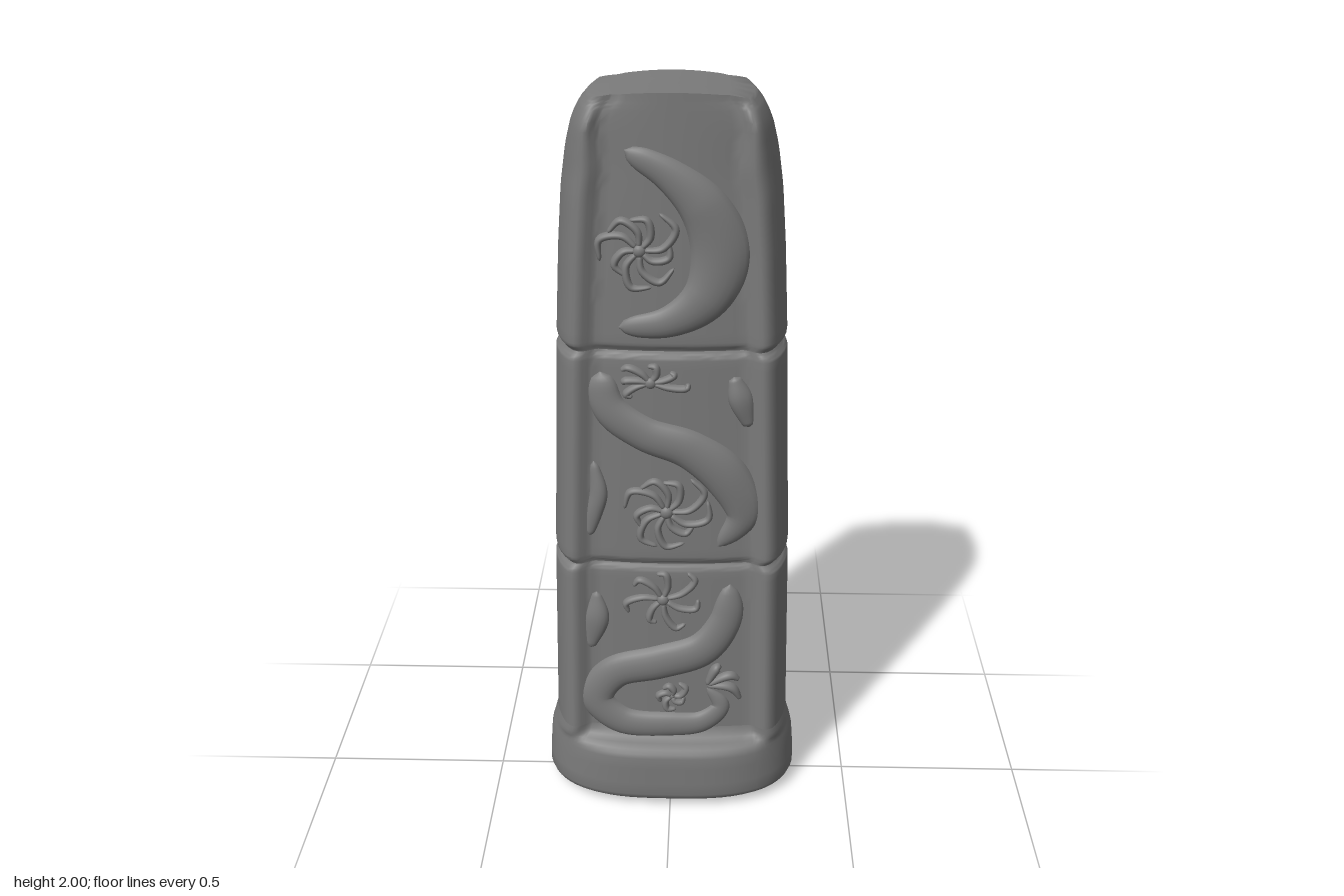
import * as THREE from 'three';
import { toCreasedNormals } from 'three/addons/utils/BufferGeometryUtils.js';

const material = new THREE.MeshStandardMaterial({ color: 0x7b7b7b, side: THREE.DoubleSide });
const SEAMS = [0.75, 1.357];
// half width by height
const WIDTH = [[0, 0.354], [0.1, 0.352], [0.17, 0.345], [0.2, 0.336], [0.23, 0.328], [0.75, 0.318], [1.36, 0.297],
  [1.6, 0.285], [1.75, 0.274], [1.85, 0.26], [1.92, 0.243], [1.96, 0.222], [1.985, 0.2], [2, 0.2]];
// rail: inset from the side, depth
const RAIL = [[0, 0], [0.003, 0.03], [0.009, 0.06], [0.02, 0.095], [0.032, 0.12], [0.043, 0.135],
  [0.055, 0.143], [0.066, 0.144], [0.077, 0.139], [0.09, 0.13], [0.1, 0.124], [0.108, 0.122]];
const PANEL_INSET = 0.108, PANEL_STEPS = 8;

const groove = (y) => SEAMS.reduce((s, c) => s + Math.exp(-(((y - c) / 0.011) ** 2)), 0);
const railScale = (y) => 1 - 0.4 * THREE.MathUtils.smoothstep(y, 1.8, 1.98);

function halfWidth(y) {
  const k = Math.max(1, WIDTH.findIndex((p) => p[0] >= y));
  const [a, b] = [WIDTH[k - 1], WIDTH[k]];
  return a[1] + (b[1] - a[1]) * (y - a[0]) / (b[0] - a[0]);
}

// depth of the bulging recessed panel
function panelZ(x, y) {
  const inner = halfWidth(y) - PANEL_INSET * railScale(y);
  return 0.122 + 0.014 * (1 - Math.min(1, (x / inner) ** 2));
}

// closed cross-section; swell 0 = railed grip, 1 = oval foot
function section(y, swell) {
  const w = halfWidth(y), g = groove(y), k = railScale(y);
  // the rail sinks into the rounded top
  const fade = THREE.MathUtils.smoothstep(y, 1.93, 1.98);
  const quarter = RAIL.map(([d, z]) => [w - d * k, z - fade * Math.max(0, z - 0.115) * 0.85]);
  const inner = w - PANEL_INSET * k;
  for (let i = 1; i <= PANEL_STEPS; i++) {
    const x = inner * (1 - i / PANEL_STEPS);
    quarter.push([x, panelZ(x, y)]);
  }
  const q = quarter.map(([x, z]) => {
    const oval = 0.202 * Math.sqrt(Math.max(0, 1 - (x / w) ** 3));
    return [x * (1 - 0.045 * g), (z + (oval - z) * swell) * (1 - 0.07 * g)];
  });
  const front = [...q, ...q.slice(0, -1).reverse().map(([x, z]) => [-x, z])];
  const back = front.slice(1, -1).reverse().map(([x, z]) => [x, -z]);
  return [...front, ...back];
}

// skins rows of 3D points; closed rows wrap round
function skin(rows, closed) {
  const n = rows[0].length, index = [];
  for (let r = 0; r < rows.length - 1; r++) {
    for (let j = 0; j < (closed ? n : n - 1); j++) {
      const a = r * n + j, b = r * n + (j + 1) % n;
      index.push(a, a + n, b, b, a + n, b + n);
    }
  }
  const geo = new THREE.BufferGeometry();
  geo.setAttribute('position', new THREE.Float32BufferAttribute(rows.flat(2), 3));
  geo.setIndex(index);
  geo.computeVertexNormals();
  return geo;
}

function addMesh(parent, geo, name) {
  const mesh = new THREE.Mesh(geo, material);
  mesh.name = name;
  parent.add(mesh);
}

const ring = (y, swell = 0) => section(y, swell).map(([x, z]) => [x, y, z]);

// one grip segment, with finer rows near its ends
function gripSegment(parent, y0, y1, name) {
  const ys = [y0];
  for (const d of [0.004, 0.008, 0.012, 0.017, 0.024]) ys.push(y0 + d);
  for (let i = 1; i < 24; i++) ys.push(y0 + 0.024 + (y1 - y0 - 0.048) * i / 24);
  for (const d of [0.024, 0.017, 0.012, 0.008, 0.004, 0]) ys.push(y1 - d);
  const rows = ys.map((y) => ring(y));
  if (y1 > 1.9) {
    // softly arched top cap
    for (const s of [1, 0.75, 0.5, 0.25, 0]) {
      rows.push(section(2, 0).map(([x, z]) => [x * s, 2 - 0.018 * (x * s / 0.2) ** 2, z * s]));
    }
  }
  addMesh(parent, toCreasedNormals(skin(rows, true), 0.9), name);
}

// raised tapering strand lying on the front panel; points are [x, y, radius]
function strand(parent, points, name, rise = 0.5) {
  const curve = new THREE.CatmullRomCurve3(points.map((p) => new THREE.Vector3(...p)));
  const steps = points.length * 7, rows = [];
  for (let i = 0; i <= steps; i++) {
    const t = i / steps, p = curve.getPoint(t), d = curve.getTangent(t);
    const len = Math.hypot(d.x, d.y) || 1;
    const cap = Math.sqrt(Math.max(0, 1 - Math.max(0, 1 - 14 * Math.min(t, 1 - t)) ** 2));
    const r = Math.max(p.z, 0.002) * cap, h = Math.min(r * rise, 0.03);
    const row = [];
    for (let j = 0; j <= 10; j++) {
      const a = Math.PI * j / 10, s = r * Math.cos(a);
      const x = p.x - d.y / len * s, y = p.y + d.x / len * s;
      row.push([x, y, panelZ(x, y) - 0.003 + (h + 0.003) * Math.sin(a)]);
    }
    rows.push(row);
  }
  addMesh(parent, skin(rows, false), name);
}

// flower of thin curling petals
function flower(parent, cx, cy, size, count, curl, name, start = 0, sweep = Math.PI * 2, squash = 1) {
  const group = new THREE.Group();
  group.name = name;
  for (let i = 0; i < count; i++) {
    const a = start + sweep * i / count;
    const reach = size * (0.85 + 0.15 * Math.cos(i * 2.3));
    const at = (f, turn, r) => [cx + Math.cos(a + turn) * reach * f, cy + Math.sin(a + turn) * reach * f * squash, r];
    strand(group, [at(0.08, 0, 0.007), at(0.5, curl * 0.1, 0.01), at(0.9, curl * 0.5, 0.01), at(0.92, curl, 0.005)], 'petal', 1.3);
  }
  const bud = new THREE.SphereGeometry(size * 0.14, 14, 10);
  bud.scale(1, 1, 0.7);
  bud.translate(cx, cy, panelZ(cx, cy) + 0.004);
  addMesh(group, bud, 'bud');
  parent.add(group);
}

export function createModel() {
  const model = new THREE.Group();
  model.name = 'carvedHandle';

  // oval foot with a rounded underside
  const foot = [[0, 0], [0.35, 0], [0.6, 0.003], [0.72, 0.009], [0.85, 0.015], [0.94, 0.022], [0.985, 0.031]]
    .map(([s, y]) => section(0.03, 1).map(([x, z]) => [x * s, y, z * s]));
  for (const [y, swell] of [[0.043, 1], [0.08, 1], [0.13, 1], [0.165, 1], [0.177, 0.95], [0.187, 0.8],
    [0.195, 0.5], [0.203, 0.22], [0.214, 0.06], [0.23, 0]]) foot.push(ring(y, swell));
  addMesh(model, toCreasedNormals(skin(foot, true), 0.9), 'foot');

  // three stacked grip segments
  gripSegment(model, 0.23, SEAMS[0], 'lowerSegment');
  gripSegment(model, SEAMS[0], SEAMS[1], 'middleSegment');
  gripSegment(model, SEAMS[1], 1.98, 'upperSegment');

  const relief = new THREE.Group();
  relief.name = 'frontRelief';
  model.add(relief);

  // upper panel
  strand(relief, [[-0.11, 1.865, 0.024], [0, 1.805, 0.042], [0.085, 1.72, 0.062], [0.122, 1.61, 0.074],
    [0.09, 1.505, 0.062], [0, 1.44, 0.042], [-0.13, 1.42, 0.024]], 'crescent');
  flower(relief, -0.075, 1.62, 0.115, 8, 1.1, 'upperFlower');

  // middle panel
  strand(relief, [[-0.178, 1.3, 0.034], [-0.155, 1.2, 0.046], [-0.07, 1.135, 0.048], [0.05, 1.09, 0.054],
    [0.145, 1.01, 0.06], [0.19, 0.9, 0.046], [0.125, 0.805, 0.018]], 'middleVine');
  flower(relief, -0.05, 1.275, 0.105, 6, 0.5, 'middleBlossom', -0.5, 5, 0.55);
  flower(relief, -0.01, 0.91, 0.125, 9, 1, 'middleFlower');
  strand(relief, [[0.16, 1.29, 0.014], [0.178, 1.23, 0.032], [0.202, 1.15, 0.014]], 'rightLeaf', 0.7);
  strand(relief, [[-0.2, 1.05, 0.01], [-0.188, 0.96, 0.024], [-0.2, 0.9, 0.022], [-0.215, 0.83, 0.01]], 'leftLeaf', 0.7);

  // lower panel
  strand(relief, [[0.16, 0.69, 0.032], [0.15, 0.58, 0.045], [0.09, 0.49, 0.052], [-0.03, 0.445, 0.053],
    [-0.155, 0.405, 0.05], [-0.205, 0.32, 0.048], [-0.14, 0.25, 0.045], [0, 0.24, 0.04],
    [0.09, 0.25, 0.034], [0.14, 0.3, 0.026], [0.1, 0.36, 0.012]], 'lowerVine');
  flower(relief, -0.02, 0.645, 0.115, 7, 0.6, 'lowerFlower', 0.3);
  flower(relief, 0.005, 0.335, 0.05, 5, 1.2, 'smallCurl');
  for (const [dx, dy] of [[0.02, 0.07], [0.07, 0.025], [0.075, -0.04]]) {
    strand(relief, [[0.1, 0.37, 0.008], [0.115 + dx * 0.7, 0.385 + dy * 0.6, 0.014], [0.12 + dx, 0.36 + dy, 0.006]], 'tendril', 1.2);
  }
  strand(relief, [[-0.2, 0.66, 0.01], [-0.2, 0.58, 0.034], [-0.22, 0.48, 0.012]], 'lowerLeaf', 0.6);
  return model;
}
